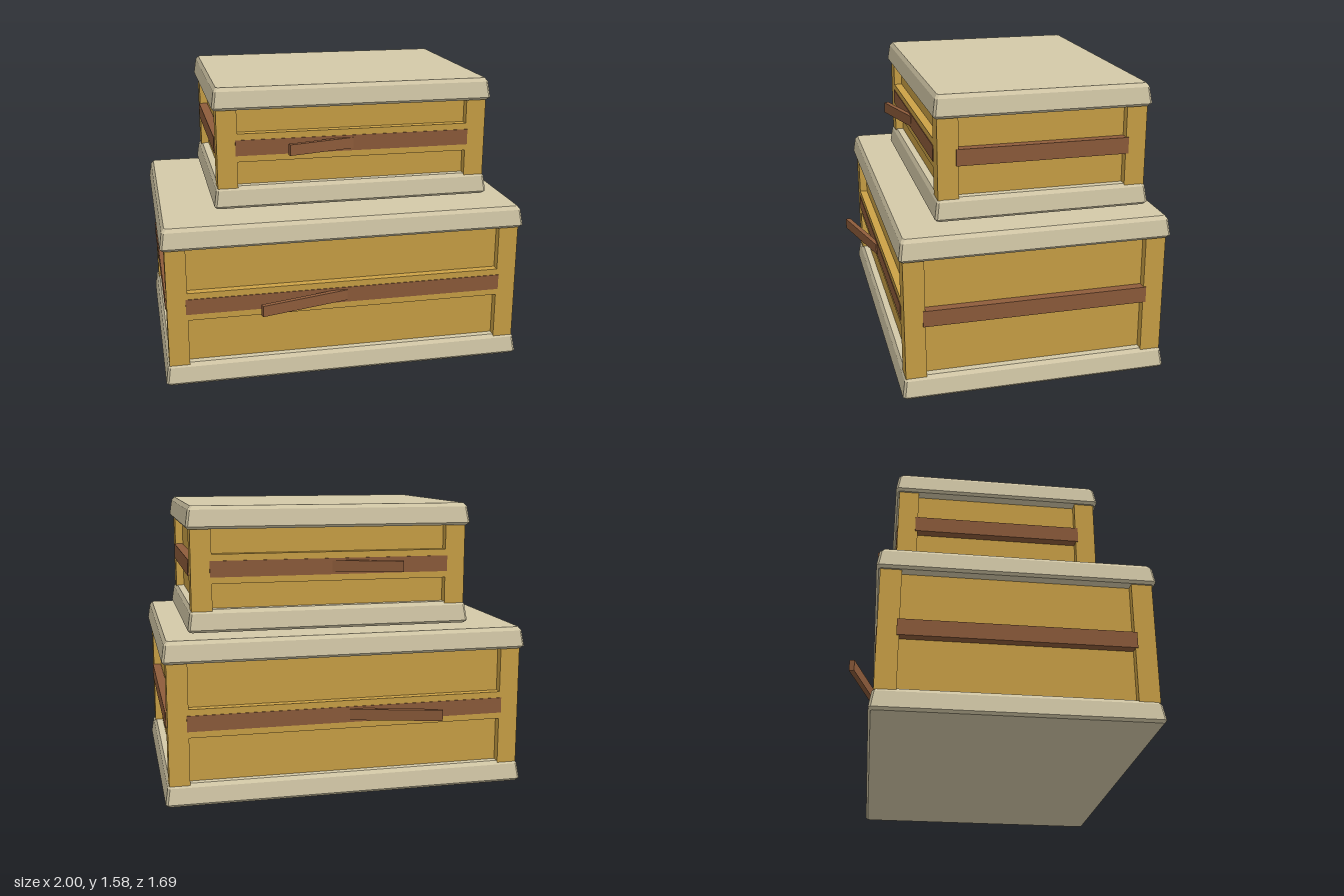
import * as THREE from 'three';
import { ConvexGeometry } from 'three/addons/geometries/ConvexGeometry.js';

const mat = (name, color) => {
  const m = new THREE.MeshStandardMaterial({ color });
  m.name = name;
  return m;
};

export function createModel() {
  const cream = mat('cream slab', 0xd4c9a8);
  const yellow = mat('yellow wood', 0xcca246);
  const brown = mat('brown strap', 0x8e5c3b);

  const add = (parent, name, geometry, material, x, y, z, turn = 0) => {
    const m = new THREE.Mesh(geometry, material);
    m.name = name;
    m.position.set(x, y, z);
    m.rotation.y = turn;
    parent.add(m);
    return m;
  };
  const box = (parent, name, material, [w, h, d], [x, y, z], turn) =>
    add(parent, name, new THREE.BoxGeometry(w, h, d), material, x, y, z, turn);

  // Slab with sloping sides, bevelled rims and clipped corners
  const slabGeometry = (hx, hz, h) => {
    const c = 0.012;
    const points = [];
    for (const [y, inset] of [[0, 0.012], [0.014, 0], [h - 0.02, 0.013], [h, 0.028]]) {
      const x = hx - inset, z = hz - inset;
      for (const sx of [-1, 1]) for (const sz of [-1, 1]) {
        points.push(new THREE.Vector3(sx * x, y, sz * (z - c)));
        points.push(new THREE.Vector3(sx * (x - c), y, sz * z));
      }
    }
    return new ConvexGeometry(points);
  };

  // One chest; hx and hz are the half sizes of the slabs
  const chest = (name, { hx, hz, height, handleLength, handleX, handleOut }) => {
    const g = new THREE.Group();
    g.name = name;
    const slabH = 0.12, post = 0.11, recess = 0.045;
    const px = hx - 0.022, pz = hz - 0.02; // outer faces of the posts
    const mid = height / 2 + 0.002, inner = height - 2 * slabH + 0.02;

    const slab = slabGeometry(hx, hz, slabH);
    add(g, 'baseSlab', slab, cream, 0, 0, 0);
    add(g, 'lidSlab', slab, cream, 0, height - slabH, 0);
    box(g, 'panels', yellow, [2 * (px - recess), inner, 2 * (pz - recess)], [0, height / 2, 0]);

    for (const sx of [-1, 1]) {
      for (const sz of [-1, 1])
        box(g, 'cornerPost', yellow, [post, inner, post],
          [sx * (px - post / 2), height / 2, sz * (pz - post / 2)]);
      // Side strap, lapping slightly over the posts
      box(g, 'sideStrap', brown, [0.05, 0.088, 2 * (pz - post + 0.013)],
        [sx * (px - 0.019), mid, 0]);
    }

    for (const sz of [-1, 1]) {
      box(g, 'rail', yellow, [2 * (px - post) + 0.01, 0.155, 0.06], [0, mid, sz * (pz - 0.03)]);
      box(g, 'railStripe', brown, [2 * (px - post + 0.01), 0.086, 0.008], [0, mid, sz * pz]);
      // Handle swung outward at an angle
      box(g, 'handle', brown, [handleLength, 0.06, 0.028],
        [handleX, mid, sz * (pz + handleOut)], sz * 0.262);
    }
    return g;
  };

  const model = new THREE.Group();
  model.name = 'stackedChests';
  const lower = chest('lowerChest', {
    hx: 1, hz: 0.725, height: 0.89, handleLength: 0.5, handleX: -0.245, handleOut: 0.062,
  });
  const upper = chest('upperChest', {
    hx: 0.772, hz: 0.578, height: 0.66, handleLength: 0.38, handleX: -0.19, handleOut: 0.042,
  });
  upper.position.set(0.083, 0.915, -0.067);
  model.add(lower, upper);
  return model;
}
